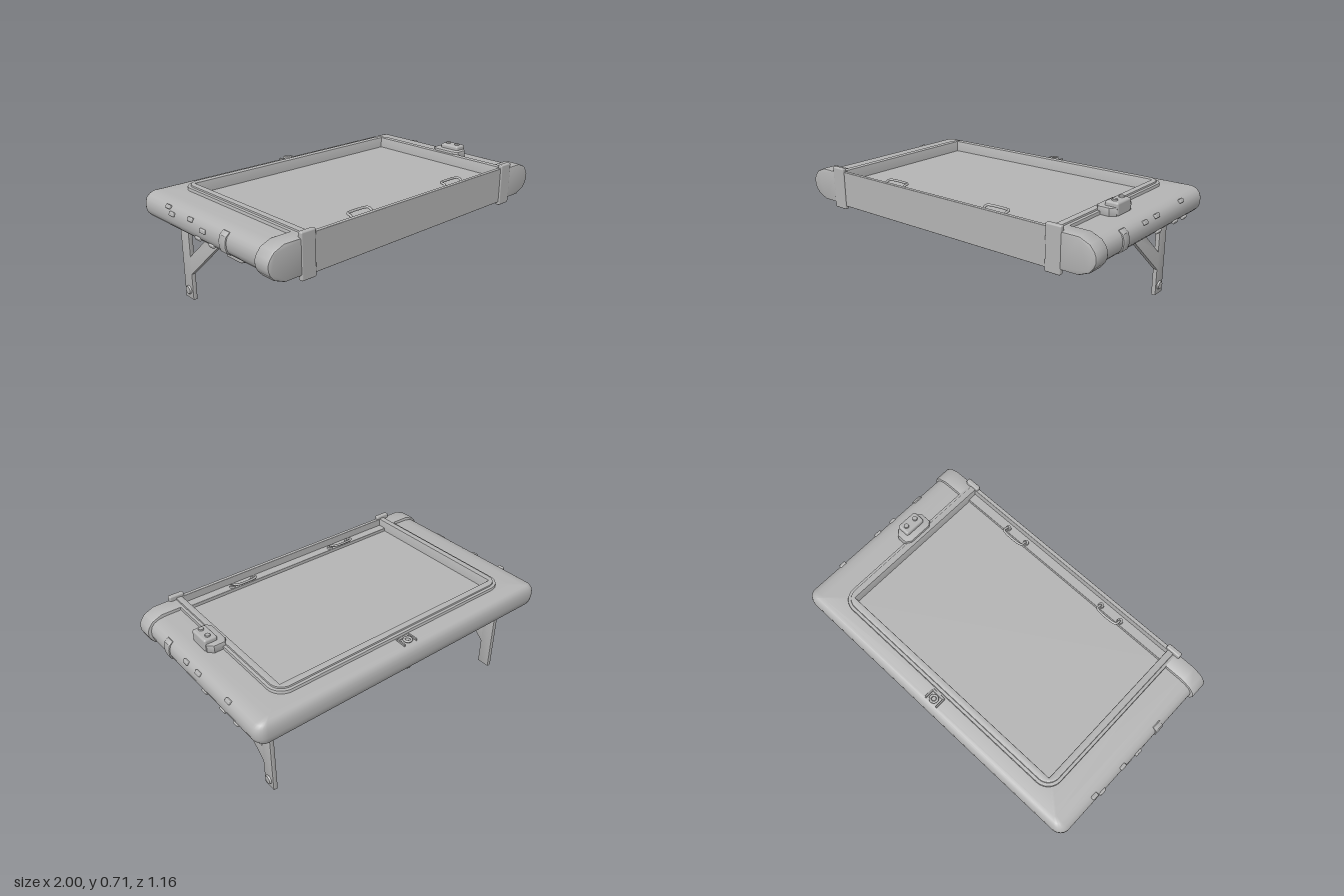
import * as THREE from 'three';
import { toCreasedNormals } from 'three/addons/utils/BufferGeometryUtils.js';
import { RoundedBoxGeometry } from 'three/addons/geometries/RoundedBoxGeometry.js';

const MID = 0.561; // height of the frame's centre plane

export function createModel() {
  const model = new THREE.Group();
  const grey = new THREE.MeshStandardMaterial({ color: 0xb4b4b4 });
  grey.name = 'plain grey';

  const add = (name, geo, parent = model) => {
    const mesh = new THREE.Mesh(geo, grey);
    mesh.name = name;
    parent.add(mesh);
    return mesh;
  };
  // box given by its limits, with softened edges
  const box = (name, x0, x1, y0, y1, z0, z1, r = 0.004, parent = model) => {
    const m = add(name, new RoundedBoxGeometry(x1 - x0, y1 - y0, z1 - z0, 2, r), parent);
    m.position.set((x0 + x1) / 2, (y0 + y1) / 2, (z0 + z1) / 2);
    return m;
  };
  const shapeOf = (pts) => new THREE.Shape(pts.map((p) => new THREE.Vector2(p[0], p[1])));
  // extrusion from 0 to depth whose bevel stays inside the outline
  const extrude = (shape, depth, bevel) => toCreasedNormals(new THREE.ExtrudeGeometry(shape, {
    depth: depth - 2 * bevel, bevelEnabled: bevel > 0, bevelThickness: bevel, bevelSize: bevel,
    bevelOffset: -bevel, bevelSegments: 2, curveSegments: 8,
  }).translate(0, 0, bevel), 0.6);

  // Rounded U-shaped frame body: a half-round section swept round the outline
  const section = [[0.22, 0.077], [0.09, 0.076], [0.05, 0.07], [0.025, 0.058], [0.008, 0.04], [0, 0.015]];
  const ring = [...section, ...section.map(([d, y]) => [d, -y]).reverse()];
  const outline = (d) => {
    const hx = 0.98 - d, back = -0.58 + (d < 0.1 ? d * 0.5 : Math.min(d, 0.16));
    const r = Math.max(0.06 - d * 0.7, 0.01), half = [[hx, 0.5]];
    for (let i = 0; i <= 6; i++) {
      const a = (i / 6) * Math.PI / 2;
      half.push([hx - r + r * Math.cos(a), back + r - r * Math.sin(a)]);
    }
    return [...half, ...half.map(([x, z]) => [-x, z]).reverse()];
  };
  const loops = ring.map(([d]) => outline(d));
  const pos = [], idx = [], m = ring.length, n = loops[0].length;
  for (let p = 0; p < n; p++) {
    for (let s = 0; s < m; s++) {
      pos.push(loops[s][p][0], MID + ring[s][1], loops[s][p][1]);
      if (p < n - 1 && s < m - 1) {
        const a = p * m + s;
        idx.push(a, a + 1, a + m, a + 1, a + m + 1, a + m);
      }
    }
  }
  const body = new THREE.BufferGeometry();
  body.setAttribute('position', new THREE.Float32BufferAttribute(pos, 3));
  body.setIndex(idx);
  add('frameBody', toCreasedNormals(body, 0.9));

  // U-shaped rim around the opening, in two steps
  const rim = (name, outer, back, inner, innerBack, r, y0, y1, bevel) => {
    const s = new THREE.Shape();
    s.moveTo(outer, -0.565);
    s.lineTo(outer, back - r);
    s.absarc(outer - r, back - r, r, 0, Math.PI / 2);
    s.lineTo(-outer + r, back);
    s.absarc(-outer + r, back - r, r, Math.PI / 2, Math.PI);
    s.lineTo(-outer, -0.565);
    s.lineTo(-inner, -0.565);
    s.lineTo(-inner, innerBack);
    s.lineTo(inner, innerBack);
    s.lineTo(inner, -0.565);
    add(name, extrude(s, y1 - y0, bevel).rotateX(-Math.PI / 2).translate(0, y0, 0));
  };
  rim('outerRim', 0.79, 0.47, 0.745, 0.425, 0.09, 0.465, 0.656, 0.005);
  rim('innerRim', 0.773, 0.453, 0.735, 0.412, 0.075, 0.456, 0.666, 0.006);

  // Recessed panel, front ledge and front plate
  box('panel', -0.745, 0.745, 0.52, 0.6, -0.425, 0.52, 0.002);
  box('frontLedge', -0.74, 0.74, 0.502, 0.62, 0.5, 0.556, 0.003);
  box('frontPlate', -0.74, 0.74, 0.457, 0.664, 0.553, 0.576, 0.003);

  // Two small handles at the front of the panel
  for (const cx of [-0.36, 0.36]) {
    const path = new THREE.CatmullRomCurve3([[-0.07, 0.618, 0.52], [-0.07, 0.645, 0.51], [-0.07, 0.652, 0.485],
      [-0.055, 0.652, 0.477], [0.055, 0.652, 0.477], [0.07, 0.652, 0.485], [0.07, 0.645, 0.51], [0.07, 0.618, 0.52]]
      .map(([x, y, z]) => new THREE.Vector3(cx + x, y, z)), false, 'centripetal');
    add('handle', new THREE.TubeGeometry(path, 32, 0.007, 8));
    for (const s of [-1, 1]) {
      add('handleFoot', new THREE.CylinderGeometry(0.016, 0.018, 0.012, 16)).position.set(cx + s * 0.07, 0.625, 0.52);
    }
  }

  // Faceted end caps and clips on both front corners
  const capHalf = [[0.785, 0.095], [0.905, 0.095], [0.965, 0.07], [0.99, 0.04], [1, 0.015]];
  const capShape = (side) => shapeOf([...capHalf.map(([x, y]) => [x, -y]),
    ...capHalf.slice().reverse()].map(([x, y]) => [side * x, y]));
  for (const side of [1, -1]) {
    add('endCap', extrude(capShape(side), 0.105, 0.01).translate(0, MID, 0.475));
    const [x0, x1] = side > 0 ? [0.72, 0.81] : [-0.81, -0.72];
    box('cornerClip', x0, x1, 0.438, 0.684, 0.555, 0.584, 0.008);
  }

  // Control box with two studs, on top at the left and underneath at the right
  const controlBox = () => {
    const g = new THREE.Group();
    g.name = 'controlBox';
    const plate = shapeOf([[0.755, -0.19], [0.775, -0.217], [0.84, -0.217], [0.868, -0.19],
      [0.868, -0.05], [0.84, -0.022], [0.775, -0.022], [0.755, -0.05]]);
    add('boxPlate', extrude(plate, 0.055, 0.006).rotateX(-Math.PI / 2).translate(0, 0.065, 0), g);
    box('boxCover', 0.795, 0.873, 0.07, 0.145, 0.058, 0.19, 0.012, g);
    for (const z of [0.09, 0.158]) {
      add('boxStud', new THREE.CylinderGeometry(0.014, 0.016, 0.014, 12), g).position.set(0.834, 0.146, z);
    }
    g.position.y = MID;
    model.add(g);
    return g;
  };
  controlBox();
  controlBox().rotation.z = Math.PI;

  // Ring latch on the back edge, above and below
  for (const side of [1, -1]) {
    const g = new THREE.Group();
    g.name = 'backLatch';
    for (const x of [-0.041, 0.041]) box('latchArm', x - 0.005, x + 0.005, 0.066, 0.086, -0.545, -0.485, 0.003, g);
    box('latchBase', -0.045, 0.045, 0.066, 0.082, -0.492, -0.478, 0.003, g);
    add('latchRing', new THREE.TorusGeometry(0.02, 0.007, 8, 20).rotateX(Math.PI / 2), g).position.set(0, 0.086, -0.52);
    add('latchPin', new THREE.CylinderGeometry(0.012, 0.014, 0.016, 12), g).position.set(0, 0.078, -0.52);
    g.position.y = MID;
    g.rotation.z = side > 0 ? 0 : Math.PI;
    model.add(g);
  }

  // Small raised tabs along the sides: [z, y, length]
  const tabs = {
    1: [[0.09, 0.6, 0.04], [-0.03, 0.602, 0.045], [-0.31, 0.61, 0.04], [-0.07, 0.511, 0.042], [-0.25, 0.516, 0.045], [-0.365, 0.508, 0.04]],
    '-1': [[-0.31, 0.61, 0.04], [-0.26, 0.585, 0.045], [-0.09, 0.6, 0.04], [0.03, 0.575, 0.045], [-0.03, 0.52, 0.045], [0.09, 0.516, 0.04]],
  };
  const patch = [[0.93, -0.055], [0.957, -0.061], [0.979, -0.043], [0.987, -0.015],
    [0.987, 0.015], [0.979, 0.043], [0.957, 0.061], [0.93, 0.055]];
  for (const side of [1, -1]) {
    for (const [z, y, len] of tabs[side]) {
      const off = y - MID;
      const tab = add('sideTab', new RoundedBoxGeometry(0.028, 0.023, len, 2, 0.006));
      tab.position.set(side * (0.977 - 6 * off * off), y, z);
      tab.rotation.z = side * off * 10;
    }
    const z0 = side > 0 ? 0.262 : 0.175;
    add('sidePatch', extrude(shapeOf(patch.map(([x, y]) => [side * x, y])), 0.055, 0.003).translate(0, MID, z0));
  }

  // Braced legs: post and diagonal in one cut-out profile, in (-z, y)
  const legProfile = [[0.36, 0], [0.44, 0], [0.44, 0.488], [0.36, 0.488], [0.36, 0.27],
    [0.125, 0.475], [0.125, 0.488], [0, 0.488], [0, 0.475], [0.36, 0.16]];
  for (const side of [1, -1]) {
    const g = new THREE.Group();
    g.name = 'leg';
    add('legBracket', extrude(shapeOf(legProfile), 0.026, 0.003).rotateY(Math.PI / 2).translate(-0.013, 0, 0), g);
    box('braceFoot', -0.035, 0.035, 0.474, 0.49, -0.128, 0.02, 0.003, g);
    box('postFoot', -0.035, 0.035, 0.474, 0.49, -0.442, -0.35, 0.003, g);
    const bolt = add('legBolt', new THREE.CylinderGeometry(0.022, 0.027, 0.012, 20), g);
    bolt.rotation.z = -side * Math.PI / 2;
    bolt.position.set(side * 0.017, 0.052, -0.4);
    g.position.x = side * 0.823;
    model.add(g);
  }

  return model;
}
